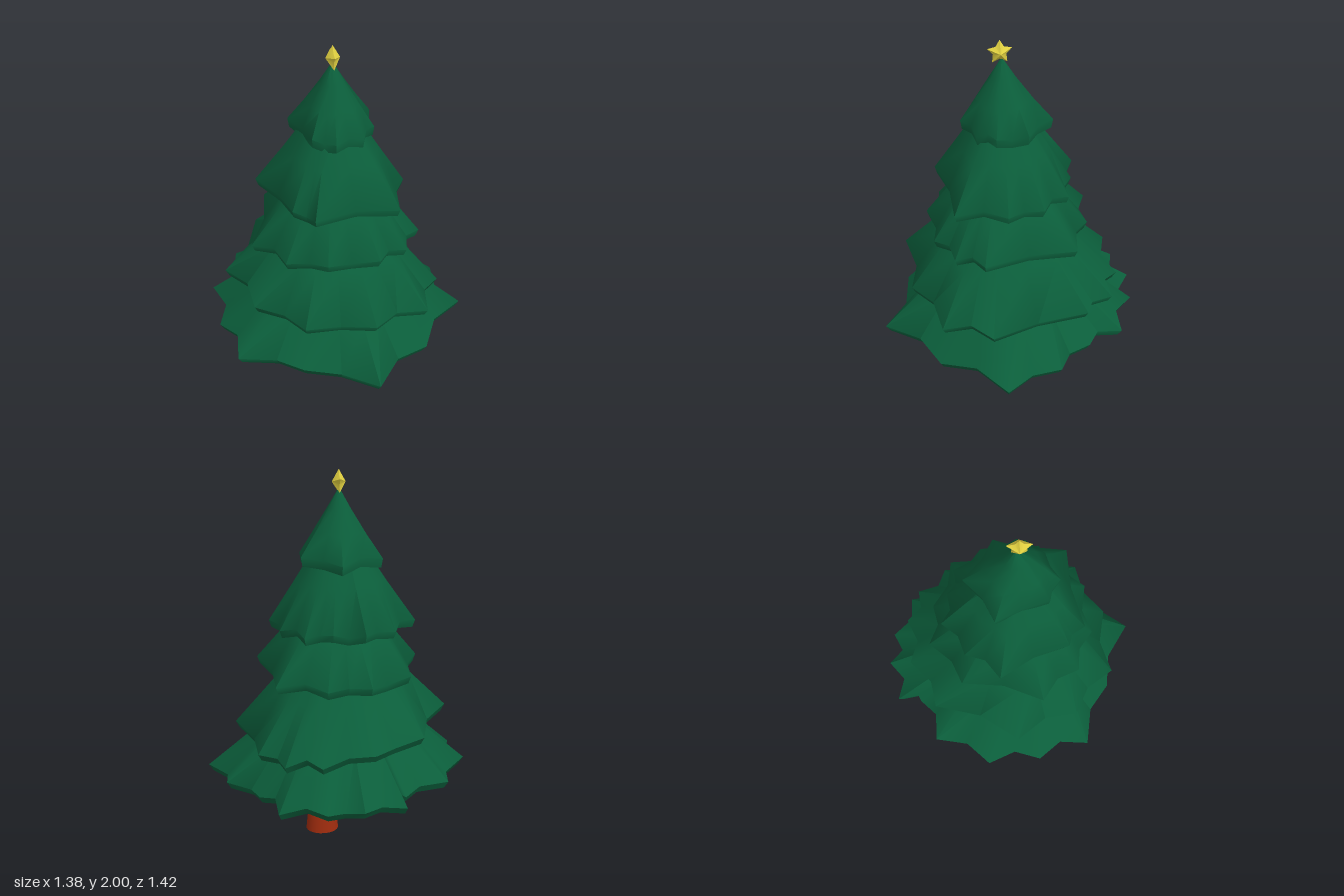
import * as THREE from 'three';
import { toCreasedNormals } from 'three/addons/utils/BufferGeometryUtils.js';

const V = (x, y, z) => new THREE.Vector3(x, y, z);
const { lerp } = THREE.MathUtils;

// Skin a list of closed rings (equal point counts); a ring may collapse to one point.
function skin(rings, crease) {
  const pos = [];
  const tri = (a, b, c) => {
    if (a.equals(b) || b.equals(c) || a.equals(c)) return;
    for (const p of [a, b, c]) pos.push(p.x, p.y, p.z);
  };
  for (let r = 0; r < rings.length - 1; r++) {
    const up = rings[r], low = rings[r + 1], n = up.length;
    for (let i = 0; i < n; i++) {
      const j = (i + 1) % n;
      tri(low[i], up[i], low[j]);
      tri(up[i], up[j], low[j]);
    }
  }
  const g = new THREE.BufferGeometry();
  g.setAttribute('position', new THREE.Float32BufferAttribute(pos, 3));
  return toCreasedNormals(g, crease);
}

// Each tier: rim height, tilt along x and z, apex height and the branch tips as [x, z].
const TIERS = [
  { y: 0.355, tiltX: -0.05, tiltZ: -0.03, top: 1.02, tips: [
    [0.69, 0.12], [0.41, 0.44], [0.09, 0.71], [-0.28, 0.55], [-0.61, 0.4], [-0.68, 0.12],
    [-0.69, -0.17], [-0.53, -0.46], [-0.29, -0.54], [-0.27, -0.67], [-0.05, -0.71],
    [0.13, -0.68], [0.36, -0.57], [0.44, -0.37], [0.6, -0.18]] },
  { y: 0.603, tiltX: -0.1, tiltZ: 0, top: 1.3, tips: [
    [0.53, 0.17], [0.41, 0.42], [0.1, 0.55], [-0.27, 0.55], [-0.5, 0.33], [-0.62, 0],
    [-0.4, -0.44], [-0.13, -0.57], [0.14, -0.58], [0.32, -0.51], [0.44, -0.35]] },
  { y: 0.92, tiltX: 0, tiltZ: 0, top: 1.53, tips: [
    [0.4, 0.19], [0.3, 0.33], [0.14, 0.42], [-0.13, 0.43], [-0.33, 0.34], [-0.48, 0.14],
    [-0.36, -0.28], [-0.13, -0.44], [0.09, -0.41], [0.34, -0.3]] },
  { y: 1.17, tiltX: -0.02, tiltZ: 0, top: 1.81, tips: [
    [0.34, 0.06], [0.26, 0.32], [-0.18, 0.37], [-0.28, 0.28], [-0.42, -0.08],
    [-0.28, -0.25], [-0.11, -0.36], [0.05, -0.32], [0.19, -0.28], [0.3, -0.13]] },
  { y: 1.515, tiltX: 0, tiltZ: 0, top: 1.91, tips: [
    [0.17, 0.09], [0.1, 0.18], [-0.05, 0.24], [-0.16, 0.18], [-0.24, -0.09],
    [-0.01, -0.23], [0.18, -0.07]] },
];

// Hollow conical tier with a thick rim, notched halfway between neighbouring tips.
function tierGeometry({ y, tiltX, tiltZ, top, tips }) {
  const cx = -0.03, cz = 0.03, notch = 0.92;
  const rim = tips.flatMap(([x, z], i) => {
    const [nx, nz] = tips[(i + 1) % tips.length];
    return [[x, z], [lerp(cx, (x + nx) / 2, notch), lerp(cz, (z + nz) / 2, notch)]];
  });
  const radius = ([x, z]) => Math.hypot(x - cx, z - cz);
  const mean = rim.reduce((sum, p) => sum + radius(p), 0) / rim.length;

  // t runs from apex to rim; round evens out the ragged outline
  const ring = (t, drop, round) => rim.map(([x, z], i) => {
    const k = t * lerp(1, mean / radius([x, z]), round);
    const rimY = y + 0.05 + x * tiltX + z * tiltZ + 0.014 * Math.sin(i * 2.3);
    return V(lerp(cx, x, k), lerp(top, rimY, t) - drop, lerp(cz, z, k));
  });
  const apex = (h) => rim.map(() => V(cx, h, cz));
  return skin([
    apex(top), ring(0.3, 0, 0.6), ring(0.65, 0, 0.3), ring(1, 0, 0),
    ring(0.965, 0.06, 0), ring(0.88, 0.06, 0), ring(0.5, 0.08, 0.4), apex(top - 0.1),
  ], 1.1);
}

export function createModel() {
  const tree = new THREE.Group();
  tree.name = 'tree';
  const add = (name, geometry, color) => {
    const mesh = new THREE.Mesh(geometry, new THREE.MeshStandardMaterial({ color }));
    mesh.name = name;
    tree.add(mesh);
    return mesh;
  };

  // Foliage
  TIERS.forEach((tier, i) => add(`foliageTier${i + 1}`, tierGeometry(tier), 0x0b5e3b));

  // Tapered trunk, running up inside the lowest tier
  const trunk = add('trunk', new THREE.CylinderGeometry(0.037, 0.09, 0.55, 24), 0xa02c0e);
  trunk.position.set(0.07, 0.275, -0.017);
  trunk.scale.z = 0.88;

  // Puffy five-pointed star, facing sideways
  const points = Array.from({ length: 10 }, (_, i) => {
    const a = Math.PI / 2 + i * Math.PI / 5, r = i % 2 ? 0.035 : 0.064;
    return V(0, r * Math.sin(a), r * Math.cos(a));
  });
  const hub = (x) => points.map(() => V(x, 0, 0));
  const star = add('star', skin([hub(0.036), points, hub(-0.036)], 1.1), 0xe0d040);
  star.position.set(-0.03, 1.936, 0.04);
  return tree;
}
